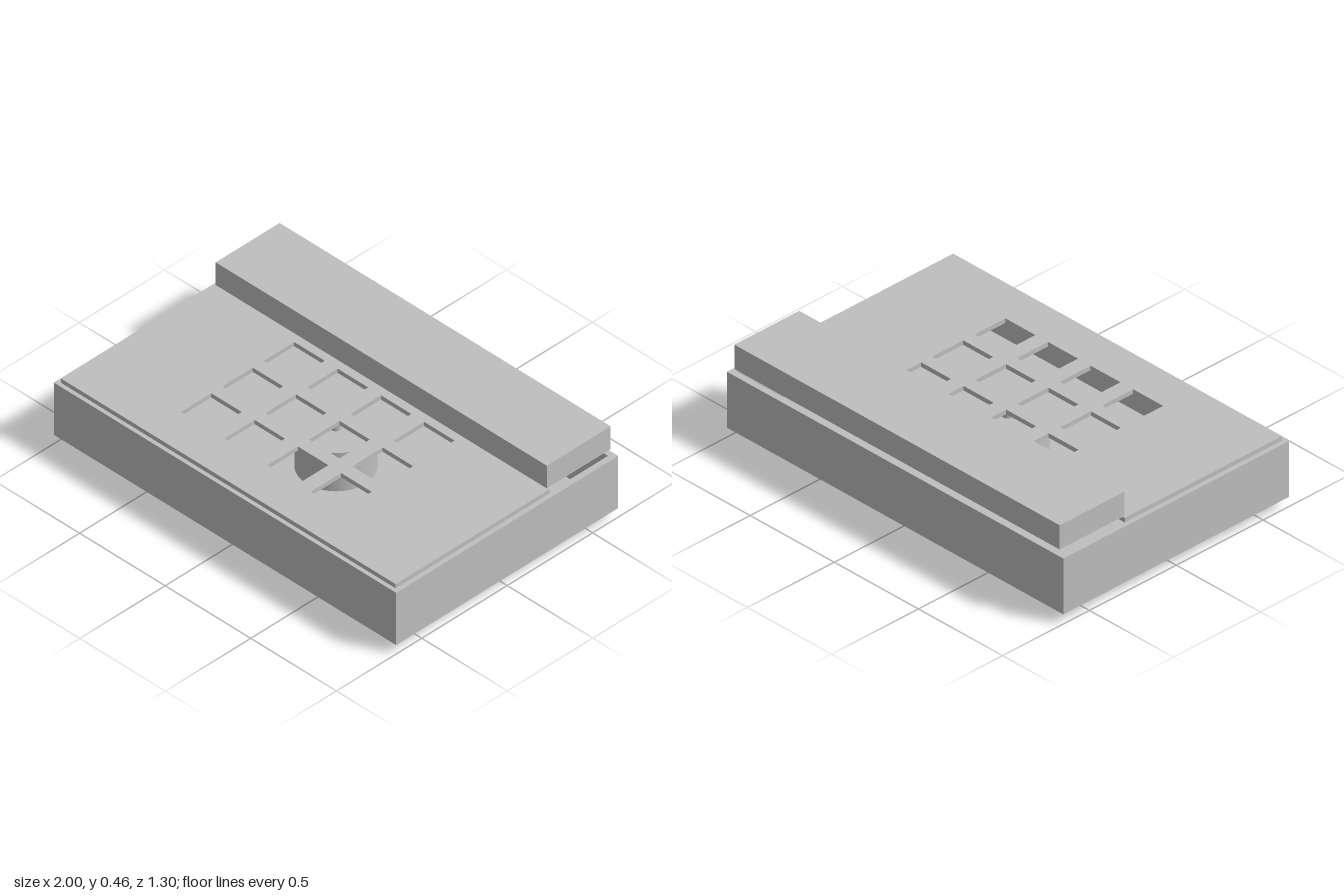
import * as THREE from 'three';

export function createModel() {
  const model = new THREE.Group();
  const grey = new THREE.MeshStandardMaterial({ color: 0xbfbfbf });
  grey.name = 'light grey';

  function add(name, geometry, x, y, z) {
    const mesh = new THREE.Mesh(geometry, grey);
    mesh.name = name;
    mesh.position.set(x, y, z);
    model.add(mesh);
    return mesh;
  }
  const box = (name, w, h, d, x, y, z) => add(name, new THREE.BoxGeometry(w, h, d), x, y + h / 2, z);
  const cylinder = (name, r, h, y) => add(name, new THREE.CylinderGeometry(r, r, h, 48), 0, y + h / 2, 0);

  // rectangle in plan; the second coordinate becomes -z once laid flat
  function rectangle(target, x, z, w, d) {
    target.moveTo(x - w / 2, -z - d / 2);
    target.lineTo(x + w / 2, -z - d / 2);
    target.lineTo(x + w / 2, -z + d / 2);
    target.lineTo(x - w / 2, -z + d / 2);
    target.closePath();
    return target;
  }
  function slab(name, shape, height, y) {
    const geometry = new THREE.ExtrudeGeometry(shape, { depth: height, bevelEnabled: false });
    geometry.rotateX(-Math.PI / 2);
    return add(name, geometry, 0, y, 0);
  }

  // open-topped case: floor and walls
  const wall = 0.03;
  box('caseFloor', 2, wall, 1.3, 0, 0.047, 0);
  const rim = rectangle(new THREE.Shape(), 0, 0, 2, 1.3);
  rim.holes.push(rectangle(new THREE.Path(), 0, 0, 2 - 2 * wall, 1.3 - 2 * wall));
  slab('caseWalls', rim, 0.321 - 0.047 - wall, 0.047 + wall);

  // top panel with a grid of square openings
  const panel = rectangle(new THREE.Shape(), 0, 0.178, 1.954, 0.904);
  for (let row = 0; row < 3; row++) {
    for (let column = 0; column < 4; column++) {
      const x = (column - 1.5) * 0.253;
      const z = 0.107 + (row - 1) * 0.243;
      panel.holes.push(rectangle(new THREE.Path(), x, z, 0.178, 0.178));
    }
  }
  slab('topPanel', panel, 0.022, 0.321);

  // raised bar along the back
  box('rearBar', 1.934, 0.119, 0.374, 0, 0.345, -0.452);

  // drum inside the case, with its spindle
  cylinder('drum', 0.172, 0.2, 0.077);
  cylinder('spindle', 0.025, 0.035, 0.277);

  // short neck and square foot
  cylinder('neck', 0.072, 0.025, 0.022);
  box('foot', 0.24, 0.022, 0.24, 0, 0, 0);

  return model;
}
